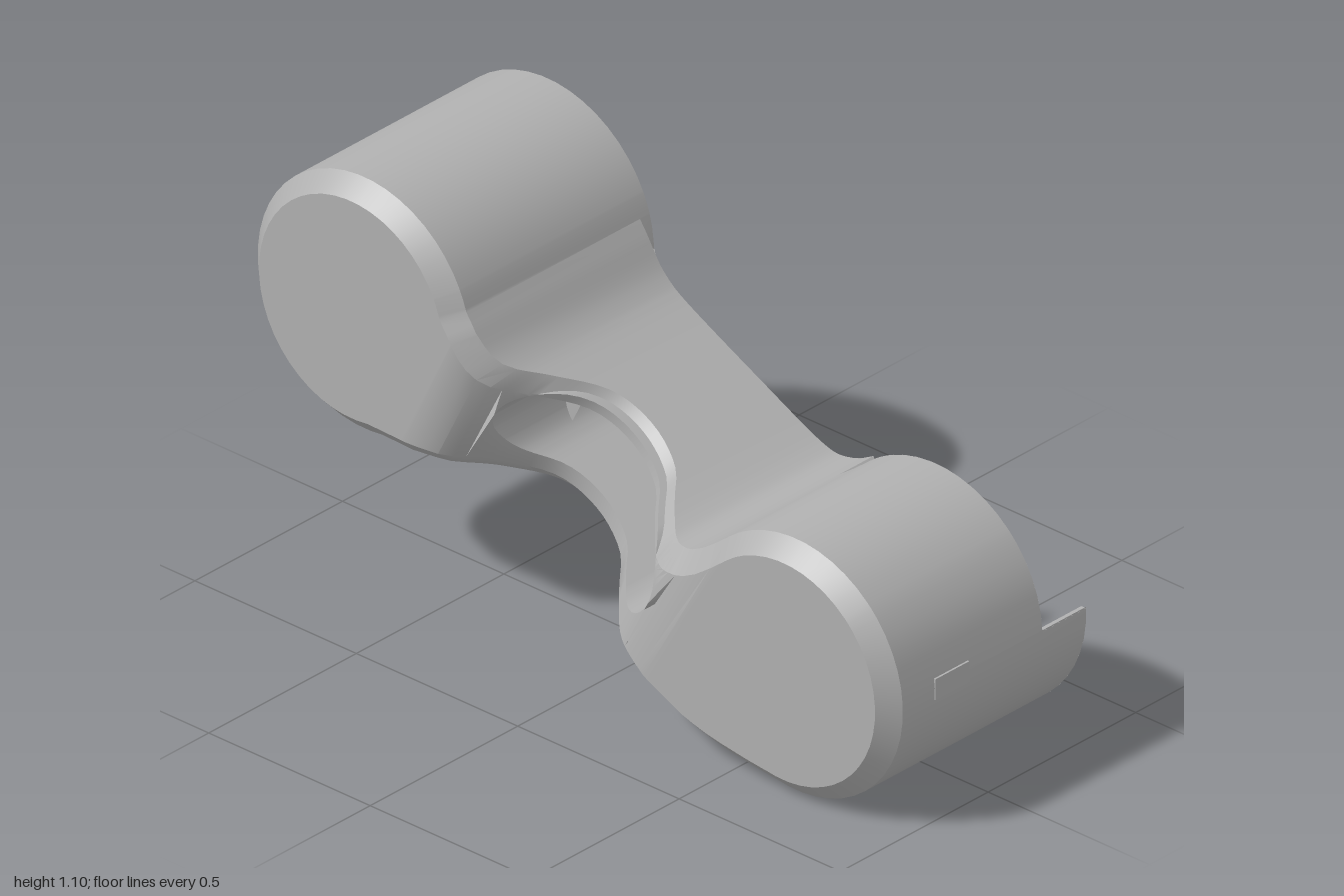
import * as THREE from 'three';
import { toCreasedNormals } from 'three/addons/utils/BufferGeometryUtils.js';

// Local frame: X runs along the arm, Y across it, Z along the cup axes (open end at +Z).
const R = 0.33, BORE = 0.315, CH = 0.045, OPEN = 0.333, ARM = 0.3, CUT = 0.185, TILT = 0.471;
const F = { u: -0.696, v: 0.108 }, B = { u: 0.696, v: -0.108 };
const SLOT = { a: -0.194, b: 0.18, v: -0.09, r: 0.11 };
const rad = THREE.MathUtils.degToRad;

// smooth height function through a few points
function profile(pts) {
  const s = new THREE.SplineCurve(pts.map(p => new THREE.Vector2(...p))).getPoints(80);
  return u => {
    if (u <= s[0].x) return s[0].y;
    for (let i = 1; i < s.length; i++) {
      if (u <= s[i].x) return THREE.MathUtils.mapLinear(u, s[i - 1].x, s[i].x, s[i - 1].y, s[i].y);
    }
    return s[s.length - 1].y;
  };
}
const armTop = profile([[-0.391, 0.234], [-0.345, 0.14], [-0.296, 0.08], [-0.22, 0.046], [0, 0.04], [0.25, 0.04],
  [0.33, 0.052], [0.371, 0.07], [0.42, 0.1], [0.457, 0.12]]);
const armBottom = profile([[-0.8, -0.205], [-0.72, -0.235], [-0.59, -0.275], [-0.45, -0.29], [0, -0.29], [0.25, -0.29],
  [0.33, -0.302], [0.395, -0.325], [0.5, -0.374]]);
// depth of the closed side, scooped out between the cups
const backX = profile([[-0.39, -0.333], [-0.28, -0.3], [-0.17, -0.2], [-0.09, -0.12], [0.03, -0.08], [0.15, -0.1],
  [0.25, -0.2], [0.33, -0.3], [0.41, -0.333]]);
const half = (u, c) => Math.sqrt(Math.max(0, R * R - (u - c.u) ** 2));
const hi = u => u < -0.391 ? F.v + half(u, F) : u > 0.457 ? B.v + half(u, B) : armTop(u);
const lo = u => u < -0.8 ? F.v - half(u, F) : u > 0.5 ? B.v - half(u, B) : armBottom(u);
const slotHalf = u => {
  const d = u < SLOT.a ? SLOT.a - u : u > SLOT.b ? u - SLOT.b : 0;
  return Math.sqrt(Math.max(0, SLOT.r ** 2 - d * d));
};

// stations along the arm, dense at round ends
function stations() {
  const us = [-0.391, -0.345, 0.457, 0.5, -0.8];
  for (let k = 0; k <= 20; k++) {
    const d = R * Math.cos(k * Math.PI / 24);
    us.push(F.u - d, B.u + d);
  }
  for (let k = 0; k <= 8; k++) {
    const d = SLOT.r * Math.cos(k * Math.PI / 16);
    us.push(SLOT.a - d, SLOT.b + d);
  }
  for (let u = -0.42; u < 0.5; u += 0.025) us.push(u);
  return us.sort((a, b) => a - b).filter((u, i, a) => i === 0 || u - a[i - 1] > 1e-4);
}

// outer wall, chamfer, closed side and slot walls
function shellGeometry() {
  const us = stations(), n = us.length, pos = [];
  const quad = (a, b, c, d) => pos.push(...a, ...b, ...c, ...a, ...c, ...d);
  const top = us.map(u => [u, hi(u)]), bottom = us.map(u => [u, lo(u)]);
  const loop = [...bottom, ...top.slice(1, -1).reverse()], m = loop.length;
  const inset = loop.map((p, i) => {
    const a = loop[(i + m - 1) % m], b = loop[(i + 1) % m];
    const dx = b[0] - a[0], dy = b[1] - a[1], l = Math.hypot(dx, dy);
    return [p[0] - dy / l * CH, p[1] + dx / l * CH];
  });
  const rim = (p, q, upper) => {
    const u = (p[0] + q[0]) / 2;
    if (!upper) return u < -0.8 || u > 0.5 ? OPEN : ARM;
    if (u < F.u - R * Math.cos(rad(29))) return OPEN;
    return u < -0.345 ? CUT : u > 0.457 ? OPEN : ARM;
  };
  for (let i = 0; i < m; i++) {
    const j = (i + 1) % m, p = loop[i], q = loop[j], a = inset[i], b = inset[j];
    const t = rim(p, q, i >= n - 1);
    const pe = [...p, backX(p[0]) + CH], qe = [...q, backX(q[0]) + CH];
    quad(pe, qe, [...q, t], [...p, t]);
    quad([...a, backX(a[0])], [...b, backX(b[0])], qe, pe);
  }
  const lower = i => inset[i], upper = i => i === 0 || i === n - 1 ? inset[i] : inset[m - i];
  const at = p => [p[0], p[1], backX(p[0])];
  for (let i = 0; i < n - 1; i++) {
    const l0 = lower(i), l1 = lower(i + 1), u0 = upper(i), u1 = upper(i + 1);
    const mid = (us[i] + us[i + 1]) / 2;
    if (mid > SLOT.a - SLOT.r && mid < SLOT.b + SLOT.r) {
      const s = k => [us[i + k], SLOT.v + slotHalf(us[i + k])];
      const r = k => [us[i + k], SLOT.v - slotHalf(us[i + k])];
      quad(at(l0), at(r(0)), at(r(1)), at(l1));
      quad(at(s(0)), at(u0), at(u1), at(s(1)));
      quad(at(r(0)), [...r(0), ARM], [...r(1), ARM], at(r(1)));
      quad(at(s(1)), [...s(1), ARM], [...s(0), ARM], at(s(0)));
    } else quad(at(l0), at(u0), at(u1), at(l1));
  }
  const g = new THREE.BufferGeometry();
  g.setAttribute('position', new THREE.Float32BufferAttribute(pos, 3));
  return toCreasedNormals(g, 0.6);
}

// flat open-side face of the arm, with slot and screw holes
const SCREWS = [[0.311, -0.05], [0.311, -0.166]];
function armFaceGeometry() {
  const pts = [], steps = 24;
  const arc = (c, a, b) => {
    for (let k = 0; k <= steps; k++) {
      const t = rad(a + (b - a) * k / steps);
      pts.push(new THREE.Vector2(c.u + 0.326 * Math.cos(t), c.v + 0.326 * Math.sin(t)));
    }
  };
  for (let k = 0; k <= 40; k++) { const u = -0.345 + 0.802 * k / 40; pts.push(new THREE.Vector2(u, hi(u))); }
  arc(B, 136, 233);
  for (let k = 0; k <= 50; k++) { const u = 0.5 - 1.3 * k / 50; pts.push(new THREE.Vector2(u, armBottom(u))); }
  arc(F, 252, 362);
  const shape = new THREE.Shape(pts);
  const slot = new THREE.Path();
  slot.absarc(SLOT.b, SLOT.v, SLOT.r, -Math.PI / 2, Math.PI / 2);
  slot.absarc(SLOT.a, SLOT.v, SLOT.r, Math.PI / 2, Math.PI * 1.5);
  shape.holes.push(slot);
  for (const [u, v] of SCREWS) shape.holes.push(new THREE.Path().absarc(u, v, 0.017, 0, Math.PI * 2));
  return new THREE.ShapeGeometry(shape, 16).translate(0, 0, ARM);
}

export function createModel() {
  const grey = new THREE.MeshStandardMaterial({ color: 0xb0b0b0, side: THREE.DoubleSide });
  grey.name = 'grey plastic';
  const model = new THREE.Group(), body = new THREE.Group();
  model.name = 'twinCupArm';
  body.name = 'body';
  body.rotation.set(0, Math.PI / 2, TILT);
  body.position.y = 0.5475;
  model.add(body);
  const add = (name, geo, parent = body) => {
    const mesh = new THREE.Mesh(geo, grey);
    mesh.name = name;
    parent.add(mesh);
    return mesh;
  };
  // surface of revolution round a cup axis; angles in degrees from +X
  const turned = (name, c, pts, a = 0, b = 360) => {
    const g = new THREE.LatheGeometry(pts.map(p => new THREE.Vector2(...p)), Math.ceil((b - a) / 7.5),
      rad(a + 90), rad(b - a));
    g.rotateX(Math.PI / 2).translate(c.u, c.v, 0);
    add(name, toCreasedNormals(g, 0.6));
  };

  add('shell', shellGeometry());
  add('armFace', armFaceGeometry());

  // bores with a tapered floor, then rims
  const bore = top => [[BORE, top], [BORE, -0.215], [0.235, -0.3], [0.0001, -0.3]];
  turned('backBore', B, bore(OPEN));
  turned('frontBore', F, bore(CUT));
  turned('frontBoreLip', F, [[BORE, OPEN], [BORE, CUT]], 151, 362);
  turned('backRim', B, [[BORE, OPEN], [R, OPEN]]);
  turned('frontRim', F, [[BORE, OPEN], [R, OPEN]], 151, 362);
  turned('cutoutRim', F, [[BORE, CUT], [R, CUT]], 2, 151);
  for (const deg of [151, 362]) {
    const g = new THREE.BoxGeometry(R - BORE, 0.005, OPEN - CUT);
    g.translate((R + BORE) / 2, 0, (OPEN + CUT) / 2).rotateZ(rad(deg)).translate(F.u, F.v, 0);
    add('cutoutEdge', g);
  }

  // collars and fillets where the cups rise from the arm
  const flare = [[0.365, ARM], [0.347, 0.305], [0.335, 0.316], [R, OPEN]];
  turned('backCollar', B, [[R, 0.29], [R, OPEN]], 135, 234);
  turned('backFillet', B, flare, 148, 222);
  turned('frontCollar', F, [[R, CUT], [R, OPEN]], 251, 362);
  turned('frontFillet', F, flare, 280, 361);

  // screw holes and the ledge in the slot end
  for (const [u, v] of SCREWS) turned('screwHole', { u, v }, [[0.017, ARM], [0.017, 0.12], [0.0001, 0.12]]);
  const ledge = new THREE.Shape().absarc(SLOT.b, SLOT.v, SLOT.r, rad(-65), rad(65));
  add('slotLedge', new THREE.ShapeGeometry(ledge, 12));

  // motor mounts in both cups
  for (const [c, angle] of [[F, Math.PI - TILT], [B, 0]]) {
    const mount = new THREE.Group();
    mount.name = 'motorMount';
    mount.position.set(c.u, c.v, 0);
    mount.rotation.z = angle;
    body.add(mount);
    const box = (name, x0, x1, y0, y1, z0, z1) => add(name, new THREE.BoxGeometry(x1 - x0, y1 - y0, z1 - z0)
      .translate((x0 + x1) / 2, (y0 + y1) / 2, (z0 + z1) / 2), mount);
    box('mountFloor', -0.28, 0.13, -0.12, 0.12, -0.3, -0.27);
    for (const s of [-1, 1]) {
      box('mountRail', -0.28, 0.19, s * 0.125 - 0.007, s * 0.125 + 0.007, -0.3, -0.1);
      box('mountTab', 0.13, 0.19, s * 0.07 - 0.05, s * 0.07 + 0.05, -0.3, -0.12);
      const hole = new THREE.CylinderGeometry(0.022, 0.022, 0.006, 16).rotateX(Math.PI / 2);
      add('tabHole', hole.translate(0.16, s * 0.06, -0.119), mount);
    }
    box('mountEndWall', -0.285, -0.27, -0.13, 0.13, -0.3, 0.1);
  }

  // cable port on the front cup
  add('cablePort', new THREE.BoxGeometry(0.115, 0.055, 0.008), model).position.set(-0.122, 0.342, 0.997);
  return model;
}
